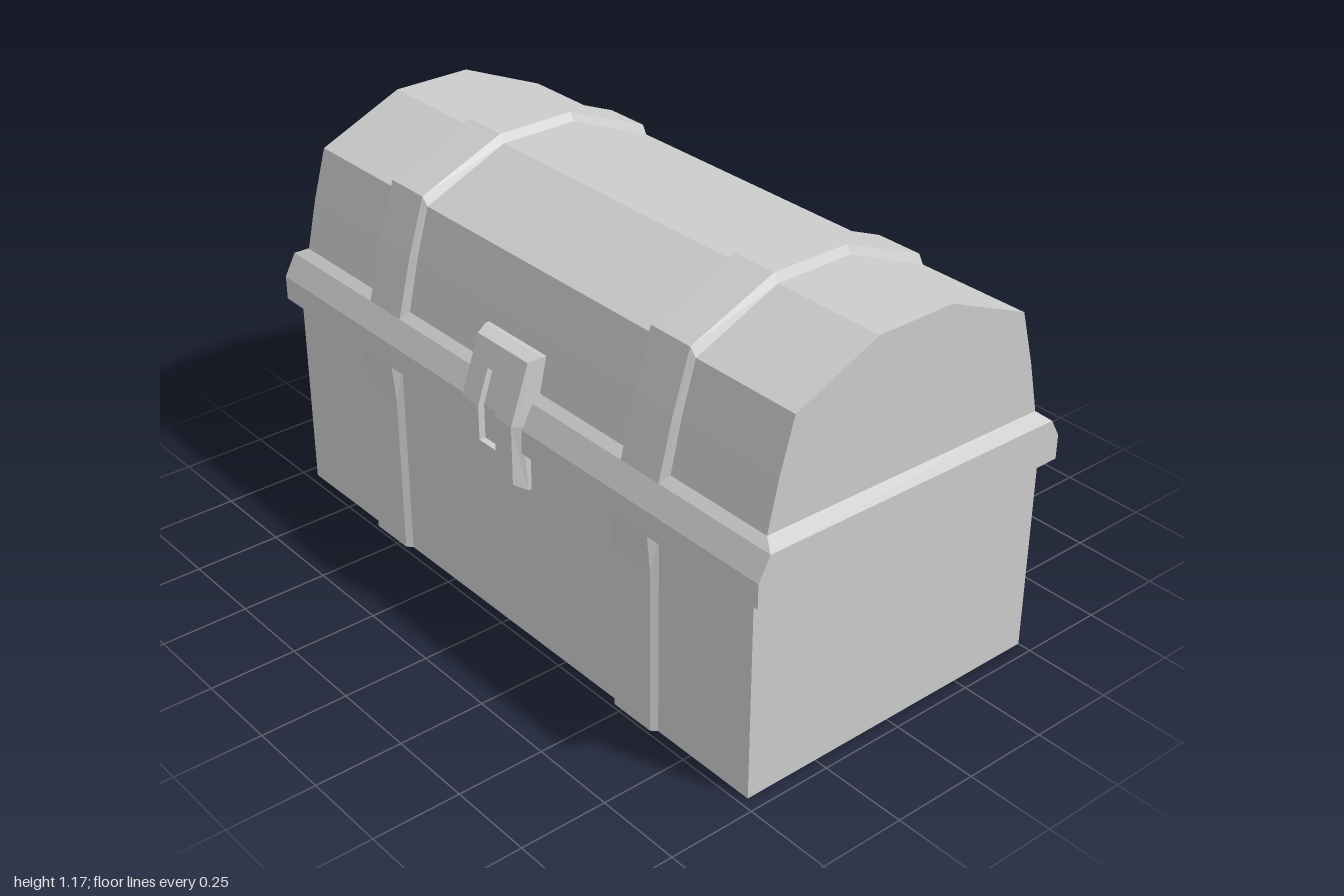
import * as THREE from 'three';

const grey = new THREE.MeshStandardMaterial({ color: 0xcccccc, flatShading: true });

// Flat-shaded skin through equal-length rings (counter-clockwise seen from the far end), capped at both ends.
function loft(rings) {
  const pos = [];
  const tri = (a, b, c) => pos.push(...a, ...b, ...c);
  const n = rings[0].length;
  for (let i = 0; i < rings.length - 1; i++) {
    for (let j = 0; j < n; j++) {
      const k = (j + 1) % n;
      const [a, b, c, d] = [rings[i][j], rings[i][k], rings[i + 1][k], rings[i + 1][j]];
      tri(a, b, c);
      tri(a, c, d);
    }
  }
  const first = rings[0], last = rings[rings.length - 1];
  for (let j = 1; j < n - 1; j++) {
    tri(first[0], first[j + 1], first[j]);
    tri(last[0], last[j], last[j + 1]);
  }
  const g = new THREE.BufferGeometry();
  g.setAttribute('position', new THREE.Float32BufferAttribute(pos, 3));
  g.computeVertexNormals();
  return g;
}

// Strap with bevelled sides; each path row is [outer z, outer y, base z, base y].
function strap(x, path) {
  return loft(path.map(([z, y, bz, by]) => [
    [x - 0.085, by, bz], [x - 0.07, y, z], [x + 0.07, y, z], [x + 0.085, by, bz],
  ]));
}

export function createModel() {
  const group = new THREE.Group();
  const add = (name, geometry) => {
    const mesh = new THREE.Mesh(geometry, grey);
    mesh.name = name;
    group.add(mesh);
    return mesh;
  };

  // Chest body
  add('body', new THREE.BoxGeometry(1.92, 0.58, 0.975)).position.set(0, 0.29, -0.0125);

  // Rim: rows of [half width, front z, front y, back z, back y]
  add('rim', loft([
    [0.96, 0.475, 0.57, -0.5, 0.57],
    [1, 0.5, 0.59, -0.52, 0.59],
    [1, 0.5, 0.66, -0.52, 0.66],
    [1, 0.465, 0.725, -0.49, 0.712],
    [0.96, 0.44, 0.745, -0.47, 0.73],
  ].map(([x, zf, yf, zb, yb]) => [[x, yf, zf], [x, yb, zb], [-x, yb, zb], [-x, yf, zf]])));

  // Faceted lid, profile drawn as [z, y] from front to back
  const lidProfile = [
    [0.44, 0.745], [0.407, 0.89], [0.365, 1.035], [0.11, 1.145],
    [-0.13, 1.145], [-0.39, 1.035], [-0.435, 0.88], [-0.47, 0.73],
  ];
  const lidShape = new THREE.Shape(lidProfile.map(([z, y]) => new THREE.Vector2(-z, y)));
  const lid = new THREE.ExtrudeGeometry(lidShape, { depth: 1.92, bevelEnabled: false });
  lid.translate(0, 0, -0.96).rotateY(Math.PI / 2);
  add('lid', lid);

  // Straps over the lid and down the front and back of the body
  const lidStrapOuter = [
    [0.465, 0.725], [0.422, 0.895], [0.37, 1.06], [0.11, 1.168],
    [-0.13, 1.168], [-0.39, 1.06], [-0.447, 0.885], [-0.49, 0.712],
  ];
  const lidStrap = lidStrapOuter.map((p, i) => [...p, ...lidProfile[i]]);
  const frontStrap = [[0.49, 0, 0.475, 0], [0.49, 0.48, 0.475, 0.48], [0.5, 0.59, 0.475, 0.59]];
  const backStrap = [[-0.52, 0.59, -0.5, 0.59], [-0.51, 0.48, -0.5, 0.48], [-0.51, 0, -0.5, 0]];
  for (const [side, x] of [['left', 0.54], ['right', -0.54]]) {
    add(side + 'LidStrap', strap(x, lidStrap));
    add(side + 'FrontStrap', strap(x, frontStrap));
    add(side + 'BackStrap', strap(x, backStrap));
  }

  // Bent latch plate with a recessed slot: rows of [half width, low y, low z, bend z, high y, high z]
  const bend = 0.67;
  add('latch', loft([
    [0.12, 0.475, 0.46, 0.47, 0.845, 0.4],
    [0.12, 0.475, 0.485, 0.497, 0.845, 0.43],
    [0.105, 0.5, 0.523, 0.523, 0.835, 0.465],
    [0.035, 0.57, 0.523, 0.523, 0.77, 0.488],
    [0.035, 0.57, 0.504, 0.504, 0.77, 0.469],
  ].map(([w, y0, z0, zm, y1, z1]) => [
    [w, bend, zm], [w, y1, z1], [-w, y1, z1], [-w, bend, zm], [-w, y0, z0], [w, y0, z0],
  ])));

  return group;
}
